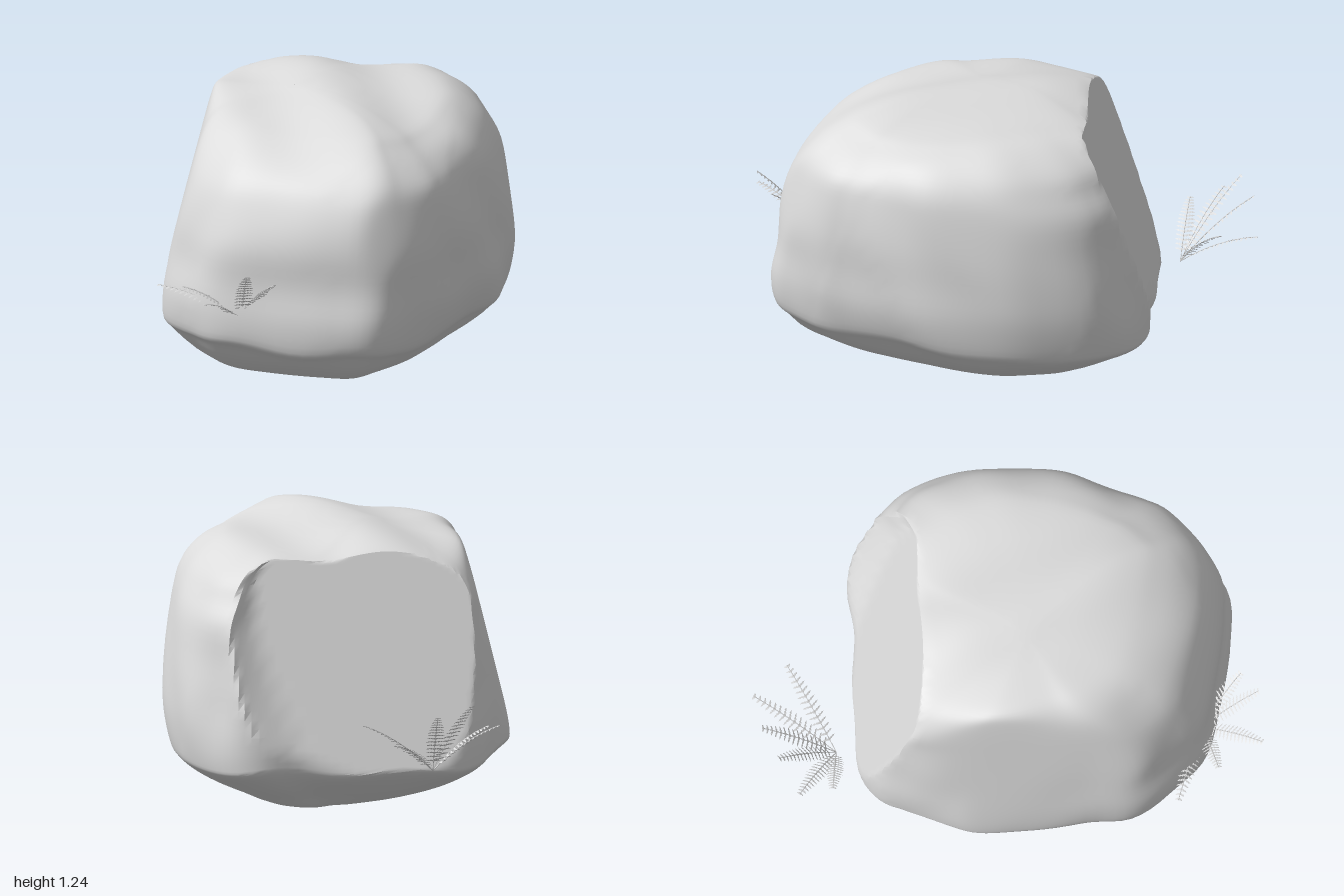
import * as THREE from 'three';
import { toCreasedNormals } from 'three/addons/utils/BufferGeometryUtils.js';

const paleGrey = new THREE.MeshStandardMaterial({ color: 0xdcdcdc, side: THREE.DoubleSide });
paleGrey.name = 'pale grey';

const V = (x, y, z) => new THREE.Vector3(x, y, z);

// widest plan outline of the boulder, as x, z
const OUTLINE = [
  [0.2, -0.68], [0.35, -0.68], [0.5, -0.59], [0.7, -0.32], [0.81, -0.1], [0.94, 0.06],
  [0.97, 0.22], [0.91, 0.42], [0.78, 0.58], [0.62, 0.71], [0.37, 0.82], [0.15, 0.87],
  [-0.05, 0.9], [-0.2, 0.92], [-0.37, 0.9], [-0.5, 0.86], [-0.6, 0.7], [-0.72, 0.45],
  [-0.8, 0.2], [-0.75, 0], [-0.66, -0.2], [-0.5, -0.32], [-0.3, -0.5], [-0.15, -0.6], [0, -0.64],
];

// height, then reach towards -x, +x, +z, -z
const LEVELS = [
  [0, 0.001, 0.001, 0.25, 0.001], [0.015, 0.14, 0.22, 0.36, 0.04], [0.05, 0.34, 0.55, 0.48, 0.2],
  [0.12, 0.58, 0.7, 0.65, 0.4], [0.19, 0.68, 0.83, 0.77, 0.54], [0.27, 0.75, 0.94, 0.85, 0.66],
  [0.32, 0.79, 0.96, 0.89, 0.68], [0.45, 0.8, 0.97, 0.92, 0.68], [0.6, 0.77, 0.96, 0.92, 0.66],
  [0.75, 0.75, 0.93, 0.92, 0.64], [0.9, 0.7, 0.9, 0.9, 0.61], [1.0, 0.64, 0.84, 0.87, 0.59],
  [1.08, 0.55, 0.79, 0.8, 0.54], [1.14, 0.45, 0.69, 0.71, 0.47], [1.18, 0.34, 0.55, 0.62, 0.36],
  [1.21, 0.19, 0.34, 0.42, 0.2], [1.222, 0.001, 0.001, 0.001, 0.001],
];

function makeBoulder() {
  const around = 120, up = 64;
  const plan = new THREE.CatmullRomCurve3(OUTLINE.map(([x, z]) => V(x, 0, z)), true, 'catmullrom', 0.5);
  const sides = new THREE.CatmullRomCurve3(LEVELS.map((l) => V(l[1], l[0], l[2])), false, 'catmullrom', 0.5);
  const ends = new THREE.CatmullRomCurve3(LEVELS.map((l) => V(l[3], l[0], l[4])), false, 'catmullrom', 0.5);
  const pos = [], index = [];
  for (let i = 0; i <= up; i++) {
    const s = sides.getPoint(i / up), e = ends.getPoint(i / up);
    for (let j = 0; j < around; j++) {
      const o = plan.getPoint(j / around);
      let x = o.x * (o.x > 0 ? s.z / 0.97 : s.x / 0.8);
      let z = o.z * (o.z > 0 ? e.x / 0.92 : e.z / 0.68);
      let y = s.y;
      // gentle weathering and an uneven lip above the undercut
      const n = 0.011 * Math.sin(7 * x + 5 * y + 1) * Math.cos(6 * z - 4 * y)
        + 0.006 * Math.sin(13 * x - 9 * z + 11 * y);
      x *= 1 + n;
      z *= 1 + n;
      y += 0.015 * Math.sin(9 * x + 8 * z) * Math.exp(-(((y - 0.3) / 0.1) ** 2));
      if (y > 1) y += 0.1 * (y - 1) * Math.sin(9 * x + 7 * z);
      // upright groove on the +x side
      const groove = Math.exp(-(((z - 0.25) / 0.09) ** 2));
      const fade = THREE.MathUtils.smoothstep(y, 0.3, 0.6) * THREE.MathUtils.smoothstep(x, 0.35, 0.7);
      x -= 0.02 * groove * fade;
      // worn corners and cleaved faces, each pushed back onto a leaning plane
      const cleave = (nx, nz, limit, soft) => {
        const over = nx * x + nz * z - limit;
        const push = (over + Math.sqrt(over * over + soft * soft)) / 2;
        const cut = Math.min(push, Math.max(0, over + 4 * soft));
        x -= cut * nx;
        z -= cut * nz;
      };
      const high = Math.max(0, y - 0.5);
      cleave(-0.5, 0.866, 1.01 - 0.22 * high, 0.03);
      cleave(0.5, 0.866, 0.96 - 0.2 * high, 0.03);
      cleave(-0.555, -0.832, 0.36 + 0.25 * (1.2 - y), 0.04);
      // the +x cleft face stops at a slanting edge, beyond which the stone swells out
      const edge = -0.12 + 0.27 * THREE.MathUtils.clamp((y - 0.25) / 0.85, 0, 1);
      cleave(0.834, -0.552, 0.44 + 0.33 * (1.2 - y) + 0.5 * Math.max(0, z - edge), 0);
      pos.push(x, Math.max(0, y), z);
    }
  }
  for (let i = 0; i < up; i++) {
    for (let j = 0; j < around; j++) {
      const k = (j + 1) % around;
      const a = i * around + j, b = i * around + k, c = a + around, d = b + around;
      index.push(a, c, b, b, c, d);
    }
  }
  const geo = new THREE.BufferGeometry();
  geo.setAttribute('position', new THREE.Float32BufferAttribute(pos, 3));
  geo.setIndex(index);
  const mesh = new THREE.Mesh(toCreasedNormals(geo, 0.6), paleGrey);
  mesh.name = 'boulder';
  return mesh;
}

// one arching frond: a thin stalk with pairs of toothed leaflets
function makeFrond(base, tip) {
  const mid = base.clone().lerp(tip, 0.5).add(V(0, 0.05, 0));
  const curve = new THREE.QuadraticBezierCurve3(base, mid, tip);
  const pos = [];
  const tri = (...p) => p.forEach((v) => pos.push(v.x, v.y, v.z));
  const pairs = 15;
  for (let i = 1; i <= pairs; i++) {
    const t = 0.08 + 0.9 * (i / pairs);
    const p = curve.getPoint(t), dir = curve.getTangent(t);
    const side = dir.clone().cross(V(0, 1, 0)).normalize();
    const len = 0.05 * Math.min(1, 0.5 + t) * (1 - 0.7 * t * t);
    for (const m of [-1, 1]) {
      const at = (u, w) => p.clone().addScaledVector(side, m * u * len)
        .addScaledVector(dir, 0.35 * u * len + w).add(V(0, -0.2 * u * u * len, 0));
      for (const u of [0, 0.3, 0.6]) {
        const w = 0.008 * (1 - 0.6 * u);
        tri(at(u, -w), at(u + 0.4, 0), at(u, w));
      }
    }
  }
  const geo = new THREE.BufferGeometry();
  geo.setAttribute('position', new THREE.Float32BufferAttribute(pos, 3));
  geo.computeVertexNormals();
  const frond = new THREE.Group();
  frond.name = 'frond';
  const leaflets = new THREE.Mesh(geo, paleGrey);
  leaflets.name = 'leaflets';
  const stalk = new THREE.Mesh(new THREE.TubeGeometry(curve, 10, 0.0018, 4), paleGrey);
  stalk.name = 'stalk';
  frond.add(leaflets, stalk);
  return frond;
}

function makeFern(name, base, tips) {
  const fern = new THREE.Group();
  fern.name = name;
  for (const tip of tips) fern.add(makeFrond(V(...base), V(...tip)));
  return fern;
}

export function createModel() {
  const model = new THREE.Group();
  model.name = 'boulder with ferns';
  model.add(makeBoulder());
  model.add(makeFern('backFern', [0.59, 0.31, -0.6], [
    [0.58, 0.55, -0.92], [0.48, 0.51, -0.81], [0.72, 0.66, -0.86],
    [0.86, 0.63, -0.77], [0.99, 0.52, -0.63], [0.93, 0.57, -0.45],
  ]));
  model.add(makeFern('sideFern', [-0.71, 0.41, 0.28], [
    [-0.82, 0.52, -0.09], [-0.9, 0.58, 0.11], [-1, 0.57, 0.31],
    [-0.89, 0.7, 0.46], [-0.77, 0.64, 0.51],
  ]));
  return model;
}
